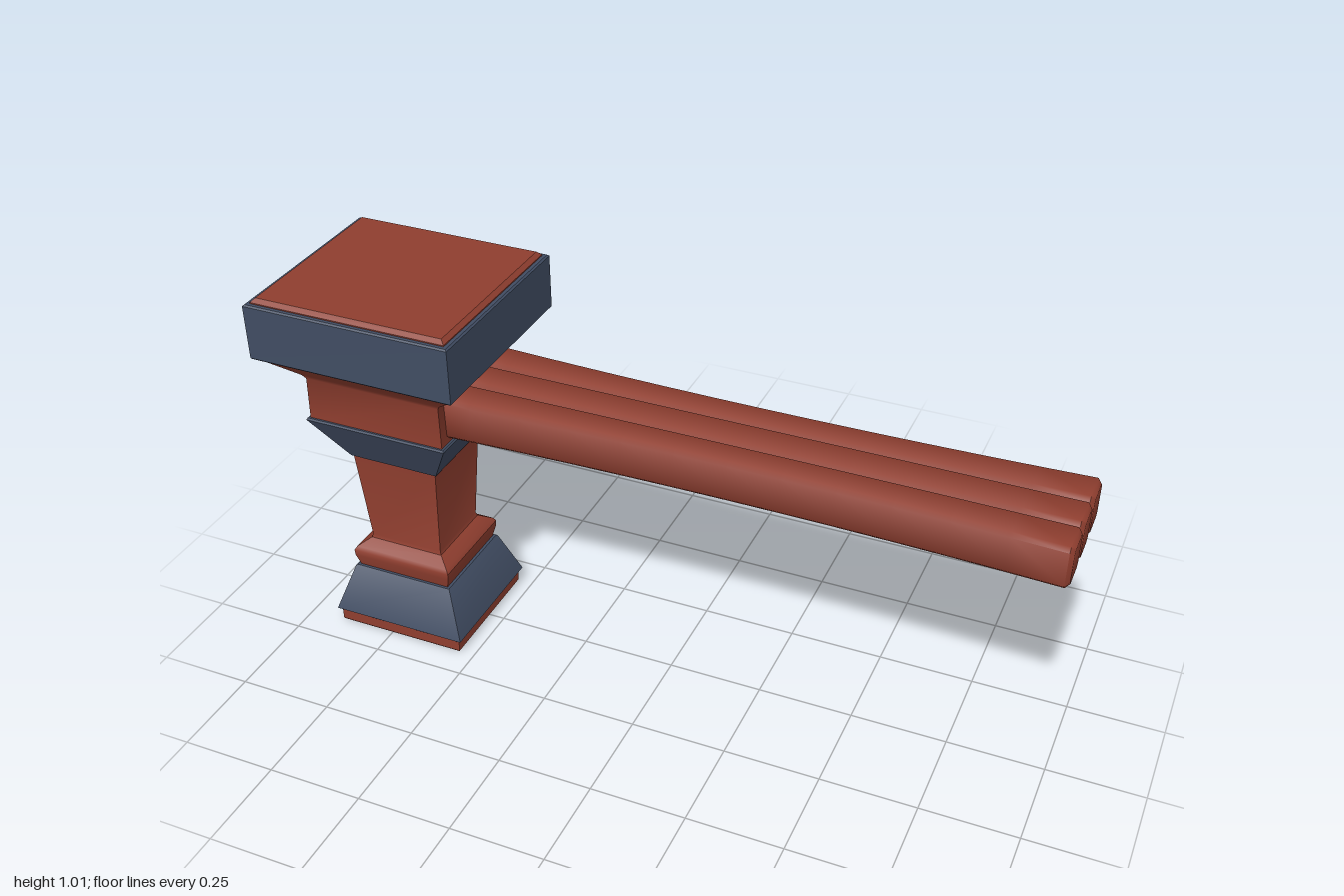
import * as THREE from 'three';
import { toCreasedNormals } from 'three/addons/utils/BufferGeometryUtils.js';

// Skin a list of equal-length rings (counter-clockwise seen from the far end), with caps
function loft(rings, crease) {
  const n = rings[0].length, pos = [], idx = [];
  rings.forEach(r => r.forEach(p => pos.push(...p)));
  for (let j = 0; j < rings.length - 1; j++) {
    for (let i = 0; i < n; i++) {
      const k = (i + 1) % n, a = j * n + i, b = j * n + k;
      idx.push(a, b, b + n, a, b + n, a + n);
    }
  }
  const top = (rings.length - 1) * n;
  for (let i = 1; i < n - 1; i++) {
    idx.push(0, i + 1, i, top, top + i, top + i + 1);
  }
  const g = new THREE.BufferGeometry();
  g.setAttribute('position', new THREE.Float32BufferAttribute(pos, 3));
  g.setIndex(idx);
  return toCreasedNormals(g, crease);
}

export function createModel() {
  const group = new THREE.Group();
  const red = new THREE.MeshStandardMaterial({ name: 'red painted wood', color: 0x8f3e2f });
  const slate = new THREE.MeshStandardMaterial({ name: 'slate blue', color: 0x414d63 });

  const post = new THREE.Group();
  post.name = 'post';
  post.position.set(-0.722, 0, 0.002);
  group.add(post);

  // Near-square stacked section from [half depth, height] pairs
  function block(name, material, profile) {
    const rings = profile.map(([h, y]) => {
      const w = h * 1.055;
      return [[w, y, h], [w, y, -h], [-w, y, -h], [-w, y, h]];
    });
    const mesh = new THREE.Mesh(loft(rings, 0.6), material);
    mesh.name = name;
    post.add(mesh);
  }

  block('foot', red, [[0.168, 0], [0.171, 0.004], [0.171, 0.045]]);
  block('baseSkirt', slate, [[0.176, 0.038], [0.18, 0.042], [0.136, 0.17], [0.133, 0.173]]);
  block('collarAndShaft', red, [
    [0.125, 0.17], [0.134, 0.205], [0.135, 0.222], [0.129, 0.232], [0.1, 0.252],
    [0.097, 0.262], [0.114, 0.525],
  ]);
  block('capitalBand', slate, [[0.118, 0.52], [0.187, 0.65], [0.184, 0.655]]);
  block('neck', red, [
    [0.179, 0.65], [0.177, 0.768], [0.184, 0.78], [0.24, 0.834], [0.247, 0.843], [0.247, 0.855],
  ]);
  block('capSlab', slate, [[0.259, 0.847], [0.263, 0.851], [0.263, 0.993], [0.259, 0.997]]);
  block('capTop', red, [[0.25, 0.99], [0.25, 1.0], [0.24, 1.01]]);

  // Three chamfered beams; the outer pair bows in toward the middle of the span
  const yLow = 0.666, yHigh = 0.776;
  function beamRing(x, side, inset) {
    const t = (x - 0.2) / 0.8;
    const s = 0.86 + 0.14 * Math.min(1, t * t);
    let z0 = -0.0485, z1 = 0.0485;
    if (side > 0) { z0 = 0.048 + 0.006 * t * t; z1 = 0.154 * s; }
    if (side < 0) { z0 = -0.154 * s; z1 = -0.048 - 0.006 * t * t; }
    z0 += inset; z1 -= inset;
    const a = yLow + inset, b = yHigh - inset, c = 0.01;
    return [
      [z1, a + c], [z1 - c, a], [z0 + c, a], [z0, a + c],
      [z0, b - c], [z0 + c, b], [z1 - c, b], [z1, b - c],
    ].map(([z, y]) => [x, y, z + 0.001]);
  }
  const names = { '-1': 'backBeam', '0': 'middleBeam', '1': 'frontBeam' };
  for (const side of [-1, 0, 1]) {
    const rings = [];
    for (let i = 0; i <= 12; i++) rings.push(beamRing(-0.6 + i * 1.59 / 12, side, 0));
    rings.push(beamRing(1, side, 0.009));
    const mesh = new THREE.Mesh(loft(rings, 0.8), red);
    mesh.name = names[side];
    group.add(mesh);
  }
  return group;
}
